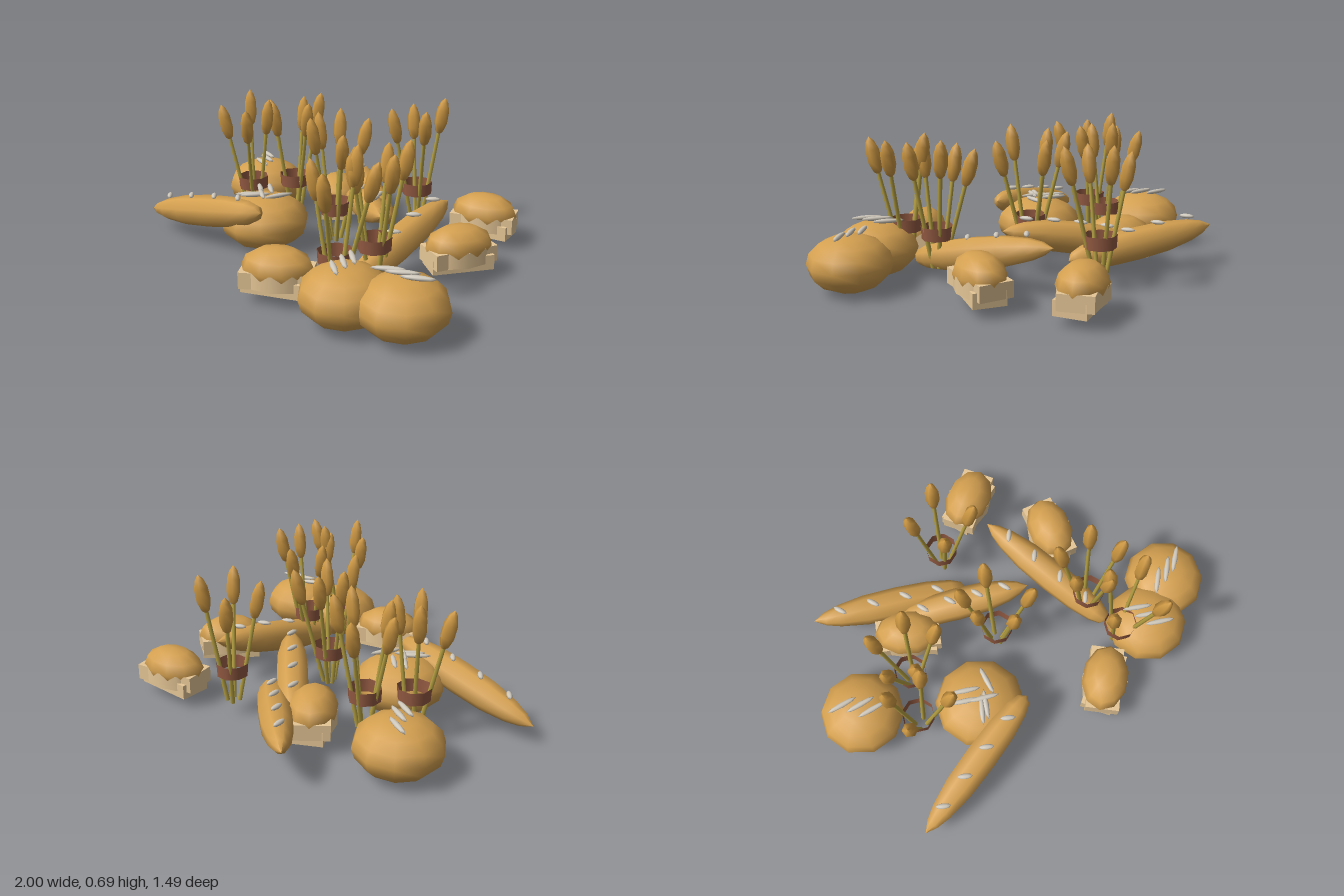
import * as THREE from 'three';

const mat = (name, color, side = THREE.FrontSide) => {
  const m = new THREE.MeshStandardMaterial({ color, side });
  m.name = name;
  return m;
};
const V = (x, y, z) => new THREE.Vector3(x, y, z);

export function createModel() {
  const crust = mat('crust', 0xd4a050);
  const crumb = mat('crumb', 0xe6c797);
  const score = mat('score', 0xcdc6ba);
  const stalk = mat('stalk', 0xb5a042);
  const grain = mat('grain', 0xcc9742);
  const twine = mat('twine', 0x935a42, THREE.DoubleSide);

  const model = new THREE.Group();
  model.name = 'breadAndWheat';

  const group = (name) => {
    const g = new THREE.Group();
    g.name = name;
    model.add(g);
    return g;
  };
  const add = (parent, name, geo, material, pos) => {
    const m = new THREE.Mesh(geo, material);
    m.name = name;
    m.position.copy(pos);
    parent.add(m);
    return m;
  };
  // turn a mesh so its own y axis points from a to b
  const aim = (m, a, b) =>
    m.quaternion.setFromUnitVectors(V(0, 1, 0), b.clone().sub(a).normalize());

  // thin flour-dusted cut on top of a loaf, lying along (dx, dz)
  const slashGeo = new THREE.SphereGeometry(1, 8, 6);
  const slash = (parent, pos, half, dx, dz) => {
    const m = add(parent, 'scoreMark', slashGeo, score, pos);
    m.scale.set(half, 0.011, 0.013);
    m.rotation.y = Math.atan2(-dz, dx);
  };

  // round loaves: centre x, z, radius, then cuts as [x, z, dx, dz]
  const loaves = [
    [-0.8, 0.015, 0.2, [[-0.86, -0.035, 1, 0.1], [-0.79, 0.015, 1, 0.1], [-0.76, 0.065, 1, 0.1]]],
    [-0.32, 0.31, 0.215, [[-0.36, 0.25, 1, 0.45], [-0.39, 0.29, 1, 0.45], [-0.31, 0.33, 1, 0.4],
      [-0.25, 0.27, 0.15, -1], [-0.32, 0.36, 0.5, -1], [-0.35, 0.37, 0.6, -1]]],
    [0.58, 0.47, 0.197, [[0.55, 0.41, 1, 0.5], [0.57, 0.47, 1, 0.5], [0.59, 0.53, 1, 0.45]]],
    [0.8, 0.345, 0.195, [[0.72, 0.36, 1, -0.95], [0.79, 0.345, 1, -0.95], [0.86, 0.325, 1, -0.85]]],
  ];
  const ballGeo = new THREE.SphereGeometry(1, 10, 8);
  for (const [x, z, r, cuts] of loaves) {
    const g = group('roundLoaf');
    add(g, 'loafCrust', ballGeo, crust, V(x, 0.135, z)).scale.set(r, 0.131, r);
    for (const [cx, cz, dx, dz] of cuts) {
      const d = Math.hypot(cx - x, cz - z) / r;
      slash(g, V(cx, 0.145 + 0.131 * Math.sqrt(1 - d * d * 0.5), cz), 0.073, dx, dz);
    }
  }

  // long loaves: pointed tip, blunt tip, direction of the cuts
  const batons = [
    [V(-0.88, 0.1, 0.65), V(-0.14, 0.25, 0.435), 12, 7],
    [V(0.235, 0.25, -0.385), V(0.445, 0.09, 0.34), 10, -11],
    [V(-0.74, 0.2, -0.485), V(-0.02, 0.1, -0.22), 6, 12],
    [V(0.2, 0.24, -0.005), V(-0.39, 0.13, -0.27), 6, 14],
  ];
  const batonProfile = [[0, 0], [0.07, 0.032], [0.16, 0.053], [0.33, 0.073], [0.55, 0.078],
    [0.75, 0.073], [0.9, 0.056], [0.97, 0.036], [1, 0]];
  for (const [a, b, dx, dz] of batons) {
    const g = group('longLoaf');
    const len = a.distanceTo(b);
    const geo = new THREE.LatheGeometry(
      batonProfile.map(([t, r]) => new THREE.Vector2(r, t * len)), 8);
    aim(add(g, 'loafCrust', geo, crust, a), a, b);
    for (const t of [0.18, 0.39, 0.6, 0.81]) {
      const p = a.clone().lerp(b, t);
      p.y += 0.079 - 0.06 * (t - 0.5) ** 2;
      slash(g, p, 0.036, dx, dz);
    }
  }

  // buns: centre x, z and direction of the long side
  const buns = [[0.27, -0.597, 29, -16], [0.505, -0.213, 10, -34], [0.235, 0.575, 24, -21], [-0.4, -0.18, 28, 18]];
  const domeGeo = new THREE.SphereGeometry(1, 10, 6);
  for (const [x, z, dx, dz] of buns) {
    const g = group('bun');
    g.position.set(x, 0, z);
    g.rotation.y = Math.atan2(-dz, dx);
    add(g, 'bunTop', domeGeo, crust, V(0, 0.155, 0)).scale.set(0.163, 0.095, 0.112);
    add(g, 'bunMiddle', new THREE.BoxGeometry(0.31, 0.075, 0.16), crumb, V(0, 0.118, 0)).rotation.y = 0.08;
    add(g, 'bunBottom', new THREE.BoxGeometry(0.29, 0.07, 0.15), crumb, V(0, 0.085, 0)).rotation.y = -0.1;
    // rounded long sides
    add(g, 'bunSide', new THREE.CylinderGeometry(1, 1, 0.075, 10), crumb, V(0, 0.118, 0)).scale.set(0.155, 1, 0.108);
  }

  // wheat bundles: centre x, z and where each ear ends up
  const bundles = [
    [-0.03, -0.41, [[-0.135, -0.47], [0.02, -0.52], [0.105, -0.34], [-0.07, -0.295]]],
    [-0.05, 0.08, [[-0.16, -0.03], [-0.01, -0.065], [0.09, 0.135], [-0.045, 0.2], [-0.16, 0.085]]],
    [-0.51, 0.015, [[-0.6, -0.1], [-0.44, -0.09], [-0.36, 0.03], [-0.52, 0.115], [-0.63, 0.06]]],
    [-0.6, 0.21, [[-0.525, 0.16], [-0.475, 0.305], [-0.685, 0.31], [-0.69, 0.16]]],
    [0.42, 0.2, [[0.33, 0.065], [0.48, 0.08], [0.55, 0.21], [0.41, 0.305], [0.305, 0.21]]],
    [0.44, 0.42, [[0.585, 0.335], [0.535, 0.535], [0.33, 0.45], [0.42, 0.3]]],
  ];
  const earGeo = new THREE.LatheGeometry(
    [[0, -0.095], [0.02, -0.075], [0.033, -0.03], [0.032, 0.03], [0.02, 0.07], [0, 0.095]]
      .map(([r, y]) => new THREE.Vector2(r, y)), 6);
  const tieGeo = new THREE.CylinderGeometry(0.077, 0.074, 0.062, 8, 1, true);
  bundles.forEach(([x, z, ears], i) => {
    const g = group('wheatBundle');
    add(g, 'tie', tieGeo, twine, V(x, 0.237, z));
    ears.forEach(([ex, ez], j) => {
      const top = V(ex, 0.545 + 0.018 * ((i * 2 + j * 3) % 4), ez);
      const out = V(ex - x, 0, ez - z).normalize().multiplyScalar(0.028);
      const foot = V(x, 0.07, z).add(out);
      const stem = new THREE.CylinderGeometry(0.009, 0.011, foot.distanceTo(top), 6);
      aim(add(g, 'stem', stem, stalk, foot.clone().lerp(top, 0.5)), foot, top);
      aim(add(g, 'ear', earGeo, grain, top), foot, top);
    });
  });

  return model;
}
